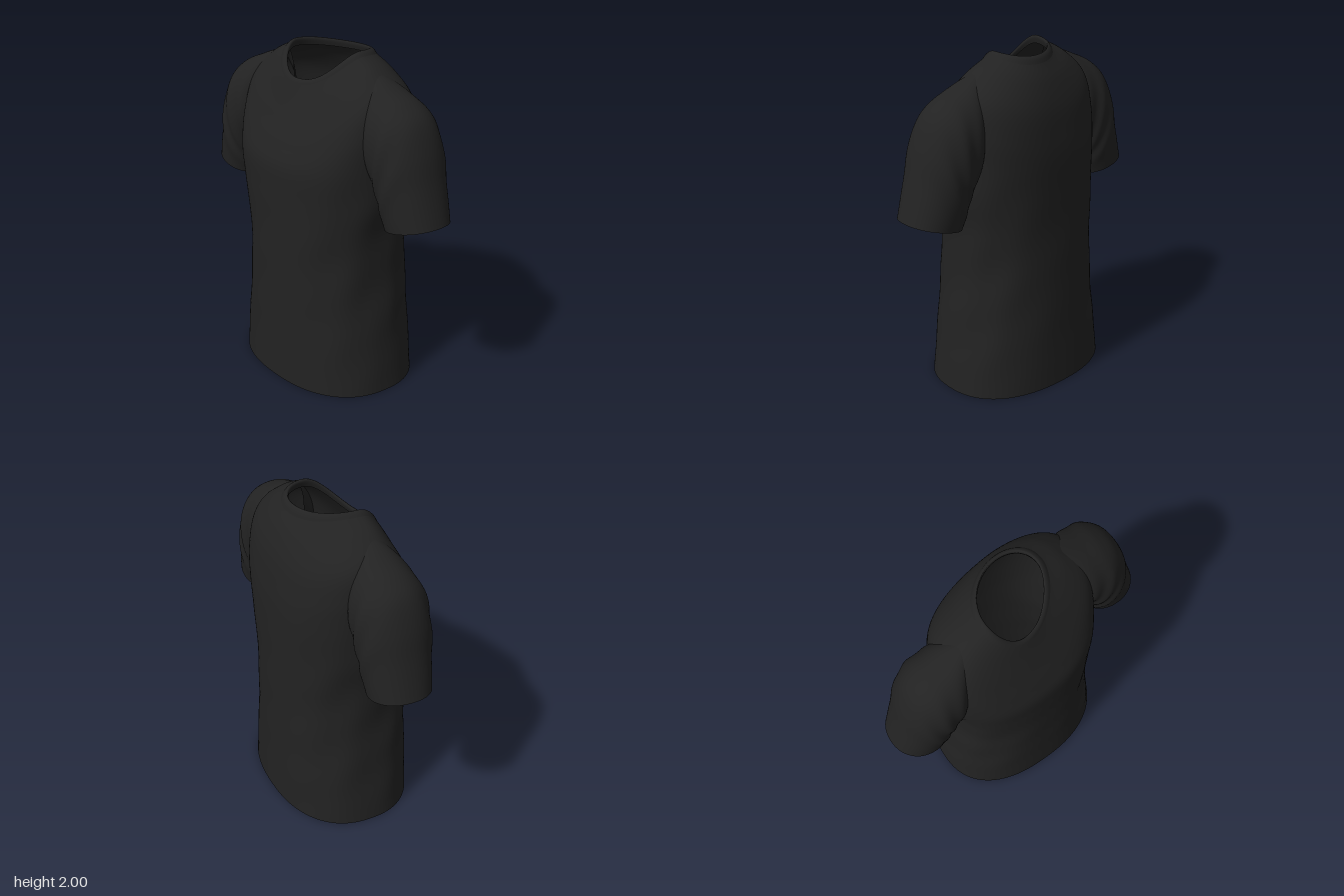
import * as THREE from 'three';

const SEG = 96;
const fabric = new THREE.MeshStandardMaterial({ color: 0x222222, side: THREE.DoubleSide });
fabric.name = 'black fabric';

// Smoothly interpolates a short list of cross-section rows into many rows.
function smoothRows(rows, count) {
  const curves = rows[0].map((_, c) =>
    new THREE.CatmullRomCurve3(rows.map((r, i) => new THREE.Vector3(i, r[c], 0)), false, 'catmullrom', 0.5));
  return Array.from({ length: count + 1 }, (_, i) =>
    curves.map((curve) => curve.getPoint(i / count).y));
}

// Joins closed loops of points into one smooth open-ended tube.
function loft(name, rows, count, pointAt) {
  const positions = [], index = [];
  smoothRows(rows, count).forEach((row, i) => {
    for (let j = 0; j < SEG; j++) {
      positions.push(...pointAt(row, (j / SEG) * Math.PI * 2, i / count));
      if (i === count) continue;
      const a = i * SEG + j, b = i * SEG + ((j + 1) % SEG);
      index.push(a, a + SEG, b, b, a + SEG, b + SEG);
    }
  });
  const geometry = new THREE.BufferGeometry();
  geometry.setAttribute('position', new THREE.Float32BufferAttribute(positions, 3));
  geometry.setIndex(index);
  geometry.computeVertexNormals();
  const mesh = new THREE.Mesh(geometry, fabric);
  mesh.name = name;
  return mesh;
}

const power = (v, n) => Math.sign(v) * Math.pow(Math.abs(v), 2 / n);

// Body ring: [half width, front depth, back depth, skew, side y, front y, back y, roundness]
function bodyPoint([a, front, back, skew, ySide, yFront, yBack, n], angle, folds) {
  const c = Math.cos(angle), s = Math.sin(angle);
  const y = THREE.MathUtils.lerp(s > 0 ? yFront : yBack, ySide, Math.pow(Math.abs(c), 2.5));
  // Soft drapes, strongest at the flanks, fading at the hem and chest
  const fade = folds * Math.sin(Math.PI * THREE.MathUtils.clamp(y / 1.5, 0, 1));
  const drape = fade * (0.35 + c * c) *
    (0.011 * Math.sin(9 * angle + 5 * y) + 0.007 * Math.sin(17 * y + 4 * angle));
  const x = a * power(c, n) * (1 + drape * 0.6);
  const z = (s > 0 ? front : back) * power(s, n) * (1 + drape * 0.7) - skew * x;
  return [x, y, z];
}

// Sleeve ring: [outer x, outer y, inner x, inner y, centre z, half depth]
function sleevePoint([ox, oy, ix, iy, cz, depth], angle, t) {
  const c = Math.cos(angle), s = Math.sin(angle);
  const k = (power(c, 2.15) + 1) / 2;
  const ripple = 0.006 * Math.sin(Math.PI * t) * Math.sin(26 * t + 3 * c) * Math.abs(s);
  return [
    THREE.MathUtils.lerp(ix, ox, k),
    THREE.MathUtils.lerp(iy, oy, k),
    cz + (depth + ripple) * power(s, 2.15),
  ];
}

export function createModel() {
  const shirt = new THREE.Group();
  shirt.name = 'shirt';
  const plainBody = (row, angle) => bodyPoint(row, angle, 0);

  // Torso from hem to neckline
  const hem = [0.55, 0.412, 0.412, 0.045, 0, 0, 0, 2.35];
  shirt.add(loft('torso', [
    hem,
    [0.52, 0.407, 0.405, 0.05, 0.25, 0.25, 0.25, 2.35],
    [0.49, 0.405, 0.398, 0.055, 0.5, 0.5, 0.5, 2.3],
    [0.465, 0.403, 0.392, 0.06, 0.78, 0.78, 0.78, 2.3],
    [0.468, 0.402, 0.388, 0.07, 1.0, 1.0, 1.0, 2.35],
    [0.488, 0.402, 0.386, 0.1, 1.2, 1.2, 1.2, 2.4],
    [0.495, 0.397, 0.383, 0.12, 1.42, 1.37, 1.4, 2.5],
    [0.5, 0.355, 0.37, 0.14, 1.63, 1.49, 1.54, 2.5],
    [0.475, 0.3, 0.343, 0.16, 1.8, 1.61, 1.7, 2.35],
    [0.36, 0.246, 0.29, 0.2, 1.91, 1.73, 1.84, 2.15],
    [0.24, 0.207, 0.225, 0.28, 1.975, 1.82, 1.94, 2],
  ], 90, (row, angle) => bodyPoint(row, angle, 1)));

  // Slightly domed panel closing the hem
  shirt.add(loft('hemPanel', [
    hem,
    [0.3, 0.22, 0.22, 0.045, 0.03, 0.03, 0.03, 2.2],
    [0.002, 0.002, 0.002, 0.045, 0.04, 0.04, 0.04, 2],
  ], 12, plainBody));

  // Collar band, rolled over the neckline and down inside
  shirt.add(loft('collar', [
    [0.244, 0.216, 0.232, 0.28, 1.972, 1.808, 1.933, 2],
    [0.227, 0.207, 0.218, 0.29, 1.99, 1.826, 1.962, 2],
    [0.21, 0.192, 0.2, 0.3, 1.998, 1.836, 1.975, 2],
    [0.203, 0.185, 0.195, 0.3, 1.985, 1.822, 1.96, 2],
    [0.212, 0.193, 0.204, 0.3, 1.95, 1.793, 1.93, 2],
  ], 16, plainBody));

  // Sleeves flowing out of the shoulder line; the second is the first turned half way round
  const cuff = [0.87, 1.165, 0.53, 1.08, -0.09, 0.178];
  const sleeveRows = [
    [0.3, 1.925, 0.3, 1.6, -0.075, 0.05],
    [0.4, 1.889, 0.37, 1.46, -0.08, 0.135],
    [0.505, 1.843, 0.43, 1.35, -0.085, 0.192],
    [0.61, 1.793, 0.47, 1.28, -0.09, 0.212],
    [0.7, 1.712, 0.492, 1.22, -0.09, 0.212],
    [0.765, 1.56, 0.505, 1.175, -0.09, 0.206],
    [0.81, 1.38, 0.515, 1.13, -0.09, 0.195],
    cuff,
  ];
  ['left', 'right'].forEach((side, i) => {
    const sleeve = new THREE.Group();
    sleeve.name = `${side}Sleeve`;
    sleeve.add(
      loft('sleeveTube', sleeveRows, 56, sleevePoint),
      // Recessed panel closing the cuff
      loft('cuffPanel', [
        cuff,
        [0.79, 1.21, 0.59, 1.16, -0.09, 0.105],
        [0.681, 1.2, 0.679, 1.2, -0.09, 0.001],
      ], 12, (row, angle) => sleevePoint(row, angle, 0)));
    sleeve.rotation.y = i * Math.PI;
    shirt.add(sleeve);
  });

  return shirt;
}
